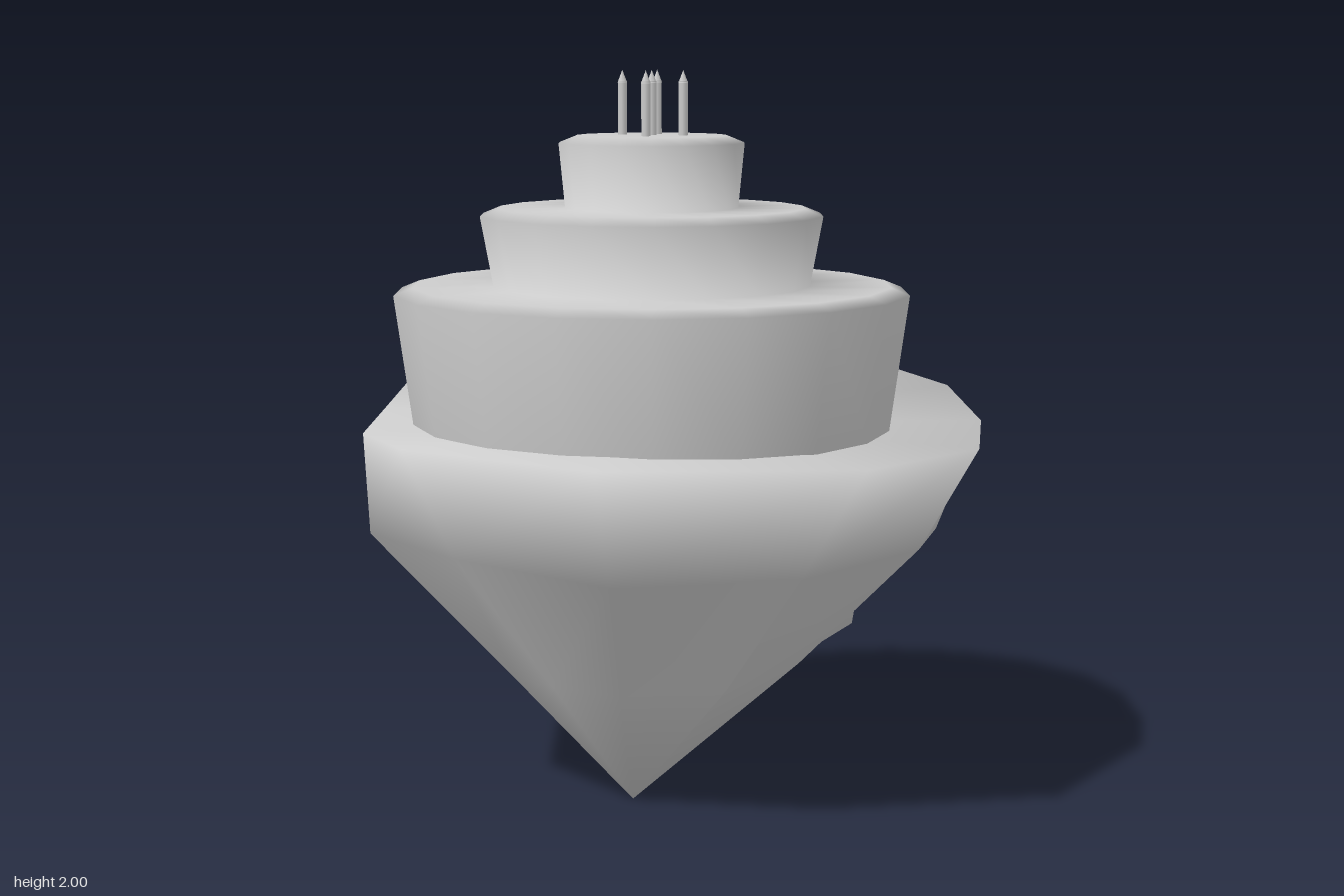
import * as THREE from 'three';
import { mergeVertices } from 'three/addons/utils/BufferGeometryUtils.js';

const grey = new THREE.MeshStandardMaterial({ color: 0xcccccc, side: THREE.DoubleSide });

function part(name, geometry, x = 0, y = 0, z = 0) {
  const mesh = new THREE.Mesh(geometry, grey);
  mesh.name = name;
  mesh.position.set(x, y, z);
  return mesh;
}

// Smooth skin through cross-sections of equal point count, listed top to bottom
function loft(rings) {
  const n = rings[0].length, index = [];
  for (let r = 0; r < rings.length - 1; r++) {
    for (let i = 0; i < n; i++) {
      const j = (i + 1) % n;
      const a = r * n + i, b = r * n + j, c = a + n, d = b + n;
      index.push(a, b, d, a, d, c);
    }
  }
  const geo = new THREE.BufferGeometry();
  geo.setAttribute('position', new THREE.Float32BufferAttribute(rings.flat(2), 3));
  geo.setIndex(index);
  const merged = mergeVertices(geo, 1e-4);
  merged.computeVertexNormals();
  return merged;
}

// Rough pointed rock, rings running back, left, front, right
function rock() {
  const centre = [-0.05, 1.04, 0];
  const tip = [-0.08, 0.005, 0.155], heel = [-0.02, 0.17, -0.49], keel = [-0.05, 0.085, -0.17];
  const rim = [
    [0.04, 1.08, -0.885], [0.52, 1.12, -0.715], [0.73, 1.09, -0.5], [0.84, 1.03, -0.23],
    [0.85, 1.0, 0.075], [0.6, 1.03, 0.635], [-0.04, 1.05, 0.88], [-0.59, 1.05, 0.635],
    [-0.76, 1.05, 0.4], [-0.83, 1.05, -0.05], [-0.85, 1.08, -0.345], [-0.38, 1.09, -0.775],
  ];
  const middle = [
    [0, 0.79, -0.74], [0.35, 0.76, -0.62], [0.52, 0.73, -0.47], [0.72, 0.72, -0.22],
    [0.69, 0.71, 0.03], [0.42, 0.71, 0.46], [-0.05, 0.71, 0.645], [-0.49, 0.74, 0.5],
    [-0.745, 0.78, 0.4], [-0.83, 0.8, -0.05], [-0.77, 0.82, -0.3], [-0.38, 0.79, -0.66],
  ];
  const lower = [
    [0, 0.32, -0.6], [0.25, 0.36, -0.56], [0.46, 0.37, -0.5], [0.39, 0.37, -0.25],
    [0.36, 0.37, 0], [0.2, 0.36, 0.29], [-0.07, 0.36, 0.4], [-0.27, 0.36, 0.32],
    [-0.38, 0.36, 0.27], [-0.42, 0.36, 0.05], [-0.39, 0.37, -0.2], [-0.25, 0.36, -0.5],
  ];
  const bottom = rim.map((_, i) => (i < 3 || i === 11 ? heel : i === 3 || i === 10 ? keel : tip));
  // A doubled column keeps the front left ridge sharp below the rim
  const ridge = 5;
  const crease = (ring, gap) => {
    const [x, y, z] = ring[ridge];
    return ring.toSpliced(ridge + 1, 0, [x - gap, y, z + gap / 2]);
  };
  return loft([
    crease(rim.map(() => centre), 0), crease(rim, 0), crease(middle, 0.002),
    crease(lower, 0.002), crease(bottom, 0),
  ]);
}

// Three flared tiers with bevelled top edges, turned in one smooth profile
function cake() {
  const tiers = [
    [0.655, 0.706, 1.03, 1.42],
    [0.435, 0.47, 1.42, 1.63],
    [0.238, 0.255, 1.63, 1.825],
  ];
  const profile = tiers.flatMap(([r0, r1, y0, y1]) => [
    new THREE.Vector2(r0, y0),
    new THREE.Vector2(r1, y1 - 0.02),
    new THREE.Vector2(r1 - 0.05, y1),
  ]);
  profile.push(new THREE.Vector2(0, 1.825));
  return new THREE.LatheGeometry(profile, 18, Math.PI / 2);
}

// Candle stick with a pointed flame
function candle(x, z) {
  const group = new THREE.Group();
  group.name = 'candle';
  group.add(part('candleStick', new THREE.CylinderGeometry(0.0125, 0.0125, 0.15, 8), 0, 1.895, 0));
  group.add(part('candleFlame', new THREE.ConeGeometry(0.0135, 0.035, 8), 0, 1.9825, 0));
  group.position.set(x, 0, z);
  return group;
}

export function createModel() {
  const model = new THREE.Group();
  model.name = 'cakeOnRock';
  model.add(part('rock', rock()));
  model.add(part('cakeTiers', cake(), -0.053));

  const spots = [[-0.14, -0.035], [-0.055, -0.1], [-0.055, -0.015], [-0.055, 0.077], [0.033, -0.005]];
  for (const [x, z] of spots) model.add(candle(x, z));
  return model;
}
